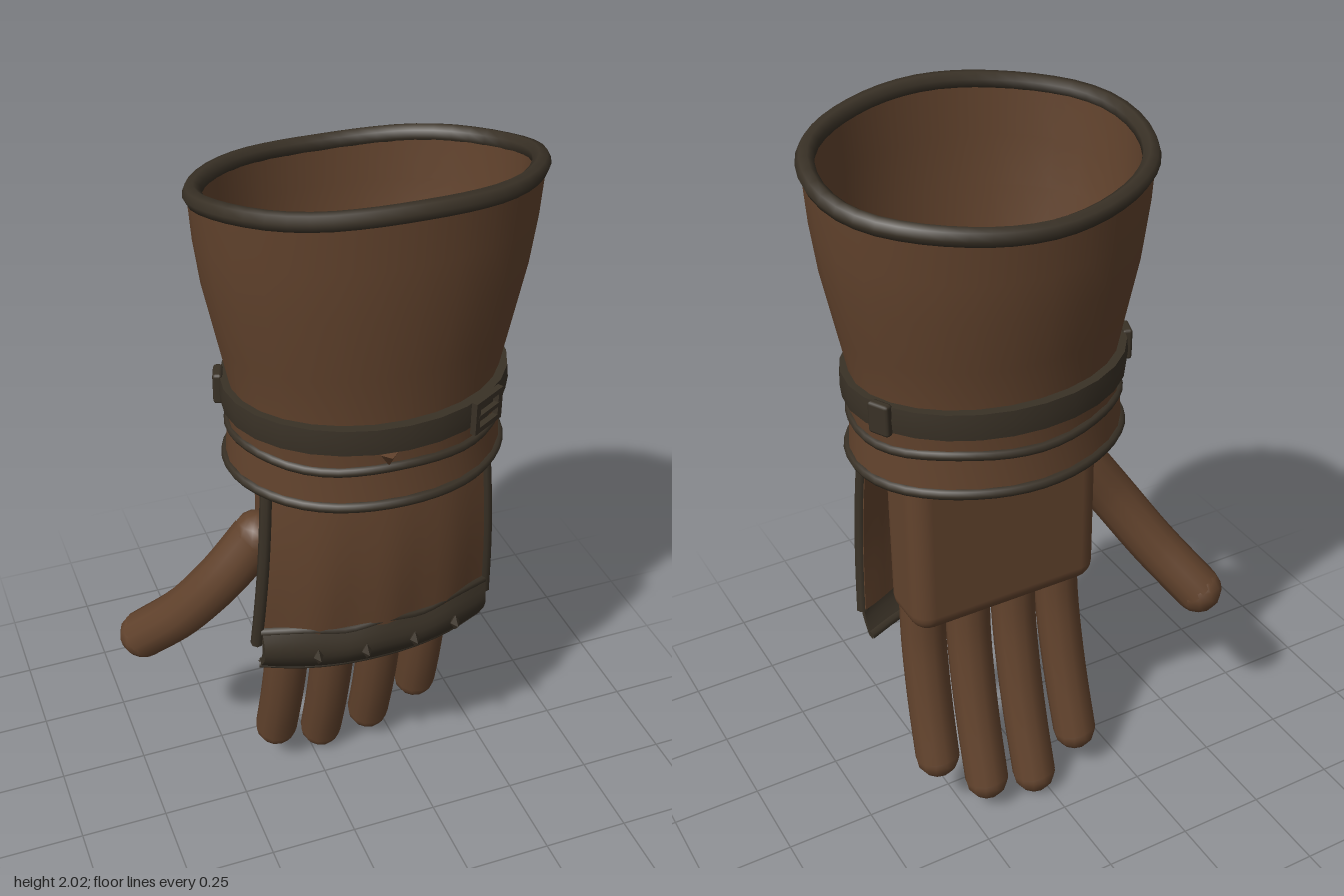
import * as THREE from 'three';
import { toCreasedNormals, mergeGeometries, mergeVertices } from 'three/addons/utils/BufferGeometryUtils.js';
import { RoundedBoxGeometry } from 'three/addons/geometries/RoundedBoxGeometry.js';

const CX = 0.105;      // centre of the cuff across the hand
const SQUASH = 0.79;   // depth of the cuff relative to its width

export function createModel() {
  const model = new THREE.Group();
  const leather = new THREE.MeshStandardMaterial({ color: 0x62432d });
  leather.name = 'brown leather';
  const trim = new THREE.MeshStandardMaterial({ color: 0x393126 });
  trim.name = 'dark trim';

  const add = (name, geometry, material, parent = model) => {
    const mesh = new THREE.Mesh(geometry, material);
    mesh.name = name;
    parent.add(mesh);
    return mesh;
  };

  // Moves every vertex of a geometry by a rule
  const bend = (geometry, rule) => {
    const p = geometry.attributes.position;
    const v = new THREE.Vector3();
    for (let i = 0; i < p.count; i++) {
      rule(v.fromBufferAttribute(p, i));
      p.setXYZ(i, v.x, v.y, v.z);
    }
    geometry.computeVertexNormals();
    return geometry;
  };

  // Oval sleeve from a closed profile of [half width, y]; slope tips the upper part forward
  const sleeve = (profile, squash = SQUASH, slope = () => 0) => {
    const pts = profile.map(([r, y]) => new THREE.Vector2(r, y));
    pts.push(pts[0].clone());
    const g = bend(new THREE.LatheGeometry(pts, 28), (v) => {
      v.z *= squash;
      v.y += v.z * slope(v.y);
      v.x += CX;
    });
    return toCreasedNormals(g, 0.7);
  };

  // Round oval piping
  const piping = (y, r, t, squash, slope = 0, wave = 0) => {
    const pts = [];
    for (let i = 0; i < 24; i++) {
      const a = (i / 24) * Math.PI * 2;
      const z = Math.sin(a) * r * squash;
      pts.push(new THREE.Vector3(CX + Math.cos(a) * r, y + z * slope + Math.sin(a * 5) * wave, z));
    }
    return new THREE.TubeGeometry(new THREE.CatmullRomCurve3(pts, true), 48, t, 7, true);
  };

  // Flared cuff with its slanted rim
  const tilt = (y) => 0.17 * THREE.MathUtils.clamp((y - 1.4) / 0.5, 0, 1);
  add('cuff', sleeve([
    [0.335, 1.22], [0.345, 1.4], [0.375, 1.55], [0.405, 1.7], [0.42, 1.82], [0.428, 1.945],
    [0.4, 1.945], [0.392, 1.82], [0.378, 1.7], [0.348, 1.55], [0.318, 1.4], [0.308, 1.22],
  ], SQUASH, tilt), leather);
  add('cuffRim', piping(1.942, 0.415, 0.023, SQUASH, 0.17, 0.003), trim);

  // Layered wrist band with piping
  const wrist = new THREE.Group();
  wrist.name = 'wristBand';
  model.add(wrist);
  add('lowerBand', sleeve([[0.363, 1.195], [0.355, 1.305], [0.32, 1.305], [0.325, 1.195]], 0.805), leather, wrist);
  add('upperBand', sleeve([[0.352, 1.295], [0.358, 1.37], [0.32, 1.38], [0.32, 1.295]], 0.805), leather, wrist);
  add('lowerPiping', piping(1.2, 0.36, 0.014, 0.81, 0, 0.002), trim, wrist);
  add('upperPiping', piping(1.303, 0.351, 0.013, 0.81, 0, 0.005), trim, wrist);

  // Strap around the wrist with a buckle and two keepers
  add('strap', sleeve([[0.37, 1.36], [0.374, 1.395], [0.37, 1.43], [0.335, 1.43], [0.335, 1.36]], 0.82), trim, wrist);
  const onStrap = (object, a) => {
    object.position.set(CX + Math.cos(a) * 0.374, 1.395, Math.sin(a) * 0.306);
    object.rotation.y = Math.atan2(Math.cos(a) / 0.374, Math.sin(a) / 0.306);
  };
  const frame = new THREE.Shape();
  frame.moveTo(-0.055, -0.045).lineTo(0.055, -0.045).lineTo(0.055, 0.045).lineTo(-0.055, 0.045).closePath();
  const hole = new THREE.Path();
  hole.moveTo(-0.038, -0.03).lineTo(-0.038, 0.03).lineTo(0.038, 0.03).lineTo(0.038, -0.03).closePath();
  frame.holes.push(hole);
  const buckle = new THREE.Group();
  buckle.name = 'buckle';
  add('buckleFrame', new THREE.ExtrudeGeometry(frame, { depth: 0.016, bevelEnabled: false }), trim, buckle);
  add('bucklePin', new THREE.BoxGeometry(0.09, 0.012, 0.014), trim, buckle).position.z = 0.01;
  onStrap(buckle, 0.95);
  wrist.add(buckle);
  for (const a of [-0.4, Math.PI + 0.28]) {
    onStrap(add('strapKeeper', new RoundedBoxGeometry(0.06, 0.085, 0.025, 1, 0.008), trim, wrist), a);
  }

  // Curved plate over the back of the hand, and the band along its lower edge
  const plateHalf = (y) => THREE.MathUtils.mapLinear(y, 0.68, 1.25, 0.335, 0.295);
  const plateFront = (y) => 0.185 + 0.02 * Math.sin(((y - 0.68) / 0.57) * Math.PI);
  const plateZ = (u, y) => plateFront(y) - 0.085 * Math.abs(u) ** 2.2;
  const plate = bend(new THREE.BoxGeometry(2, 1, 1, 18, 8, 1), (v) => {
    const u = v.x;
    const y = 0.68 + (v.y + 0.5) * 0.57;
    const ripple = 0.005 * Math.cos(u * 11) * (0.5 - v.y);
    v.set(CX + u * plateHalf(y), y, plateZ(u, y) + (v.z - 0.5) * 0.025 + ripple);
  });
  add('handPlate', toCreasedNormals(plate, 0.7), leather);
  for (const u of [-1, 1]) {
    const pts = [0.67, 0.8, 0.95, 1.1, 1.24].map((y) =>
      new THREE.Vector3(CX + u * plateHalf(y), y, plateZ(u, y) - 0.005));
    add('plateEdge', new THREE.TubeGeometry(new THREE.CatmullRomCurve3(pts), 16, 0.017, 7), trim);
  }

  const bandFront = (t) => 0.19 + 0.03 * Math.sin(t * Math.PI) - 0.025 * (1 - t);
  const band = bend(new THREE.BoxGeometry(2, 1, 1, 18, 6, 1), (v) => {
    const u = v.x;
    const t = v.y + 0.5;
    const y = 0.58 + t * 0.14 + 0.006 * t * Math.cos(u * 9);
    v.set(CX + u * 0.325, y, bandFront(t) - 0.075 * Math.abs(u) ** 2.2 + (v.z - 0.5) * 0.022);
  });
  add('knuckleBand', toCreasedNormals(band, 0.7), trim);
  for (const [name, t] of [['bandLowerRoll', 0], ['bandUpperRoll', 1]]) {
    const pts = [-1, -0.66, -0.33, 0, 0.33, 0.66, 1].map((u) => new THREE.Vector3(
      CX + u * 0.325, 0.583 + t * 0.14 + 0.006 * t * Math.cos(u * 9),
      bandFront(t) - 0.01 - 0.075 * Math.abs(u) ** 2.2));
    add(name, new THREE.TubeGeometry(new THREE.CatmullRomCurve3(pts), 24, 0.014, 7), trim);
  }
  // Pointed studs
  for (const x of [-0.09, 0.04, 0.18, 0.31]) {
    const stud = add('stud', new THREE.OctahedronGeometry(1), trim);
    stud.scale.set(0.014, 0.026, 0.022);
    stud.position.set(x, 0.662, 0.22 - 0.075 * Math.abs((x - CX) / 0.325) ** 2.2);
  }
  // Small leather tabs at the plate corners and on the wrist band
  for (const [x, y, z] of [[-0.155, 1.165, 0.135], [0.365, 1.165, 0.135], [0.06, 1.33, 0.285]]) {
    const tab = add('leatherTab', new THREE.ConeGeometry(0.022, 0.035, 4), leather);
    tab.position.set(x, y, z);
    tab.rotation.x = Math.PI;
  }

  // Palm
  add('palm', new RoundedBoxGeometry(0.55, 0.51, 0.19, 3, 0.055), leather).position.set(CX, 0.945, -0.03);

  // Rounded limb along a curve
  const limb = (points, r) => {
    const curve = new THREE.CatmullRomCurve3(points.map((p) => new THREE.Vector3(...p)));
    const cap = (p) => new THREE.SphereGeometry(r, 12, 8).translate(...points.at(p));
    return mergeVertices(mergeGeometries([new THREE.TubeGeometry(curve, 14, r, 12), cap(0), cap(-1)]));
  };

  // Four fingers, curling towards the palm side: top x, tip x, tip y
  const fingers = [[-0.1, -0.117, 0.143], [0.035, 0.034, 0.063], [0.175, 0.184, 0.1], [0.31, 0.32, 0.222]];
  for (const [x0, x1, tip] of fingers) {
    const curl = (y) => -0.005 - 0.27 * Math.max(0, 0.68 - y) ** 1.6;
    const pts = [0, 0.25, 0.5, 0.75, 1].map((t) => {
      const y = THREE.MathUtils.lerp(0.72, tip, t);
      return [THREE.MathUtils.lerp(x0, x1, t), y, curl(y)];
    });
    add('finger', limb(pts, 0.062), leather);
  }

  // Thumb
  add('thumb', limb([[-0.2, 0.985, 0.03], [-0.29, 0.85, 0.0], [-0.385, 0.7, -0.07], [-0.482, 0.562, -0.17]], 0.068), leather);

  return model;
}
